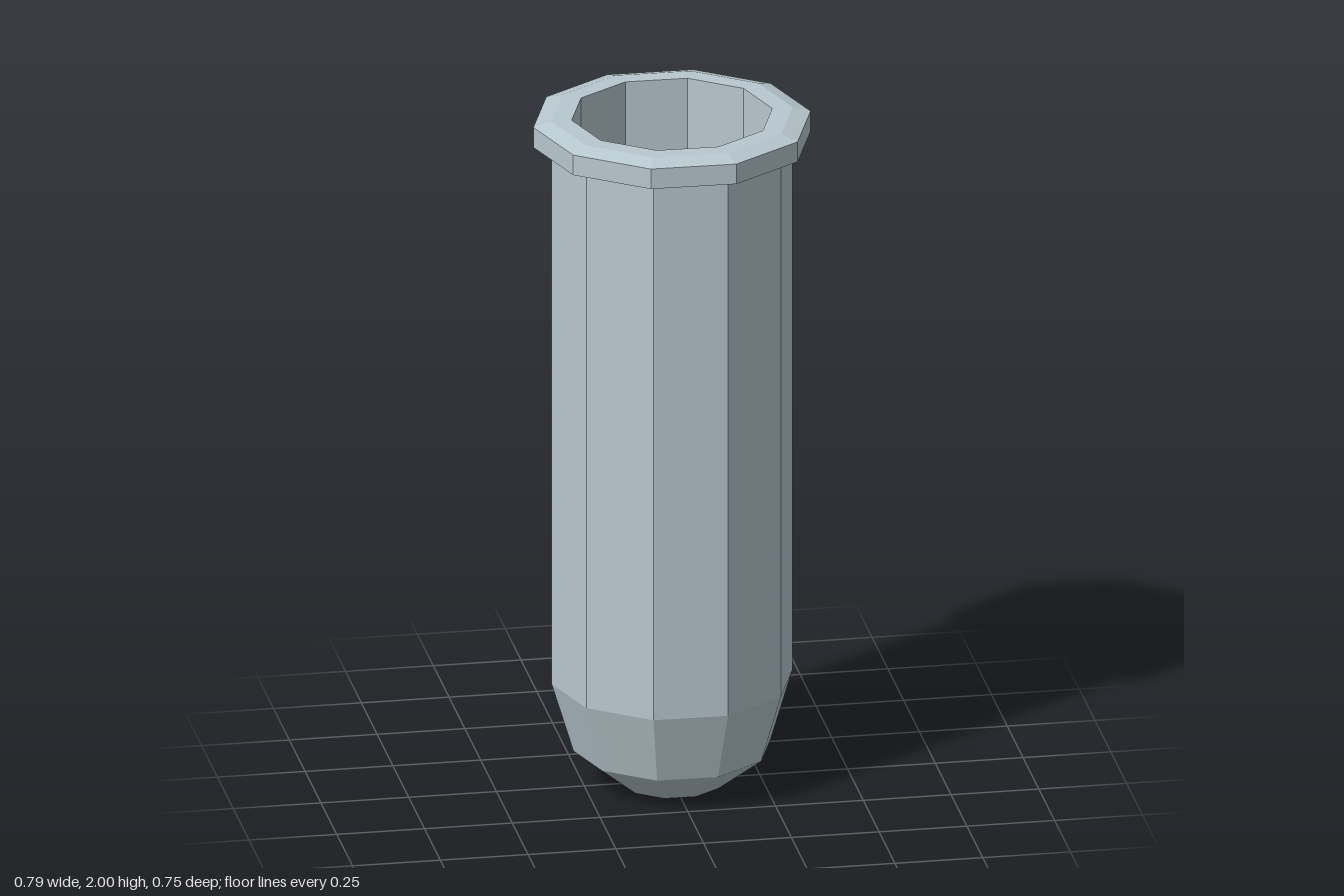
import * as THREE from 'three';

const SIDES = 10;

export function createModel() {
  const group = new THREE.Group();
  group.name = 'tube';

  const paleSteel = new THREE.MeshStandardMaterial({ color: 0xb8c8cf });
  paleSteel.name = 'pale steel';
  paleSteel.flatShading = true;

  // Ten-sided turned part from [radius, height] points, with a slight twist
  function turned(name, profile, twist) {
    const points = profile.map(([r, y]) => new THREE.Vector2(r, y));
    const geometry = new THREE.LatheGeometry(points, SIDES, Math.PI / 2 - twist);
    const mesh = new THREE.Mesh(geometry, paleSteel);
    mesh.name = name;
    group.add(mesh);
  }

  // Closed foot, tapered end and straight outer wall
  turned('outerWall', [[0, 0], [0.145, 0], [0.28, 0.105], [0.342, 0.31], [0.342, 1.925]], 0.015);

  // Flange around the mouth, with a shallow bevel on top
  turned('rim', [[0.342, 1.925], [0.394, 1.925], [0.394, 1.985], [0.343, 2], [0.285, 2]], 0.015);

  // Hollow inside, narrowing to a small flat floor
  turned('innerWall', [[0.285, 2], [0.285, 0.4], [0.122, 0.06], [0, 0.06]], 0.015);

  return group;
}
